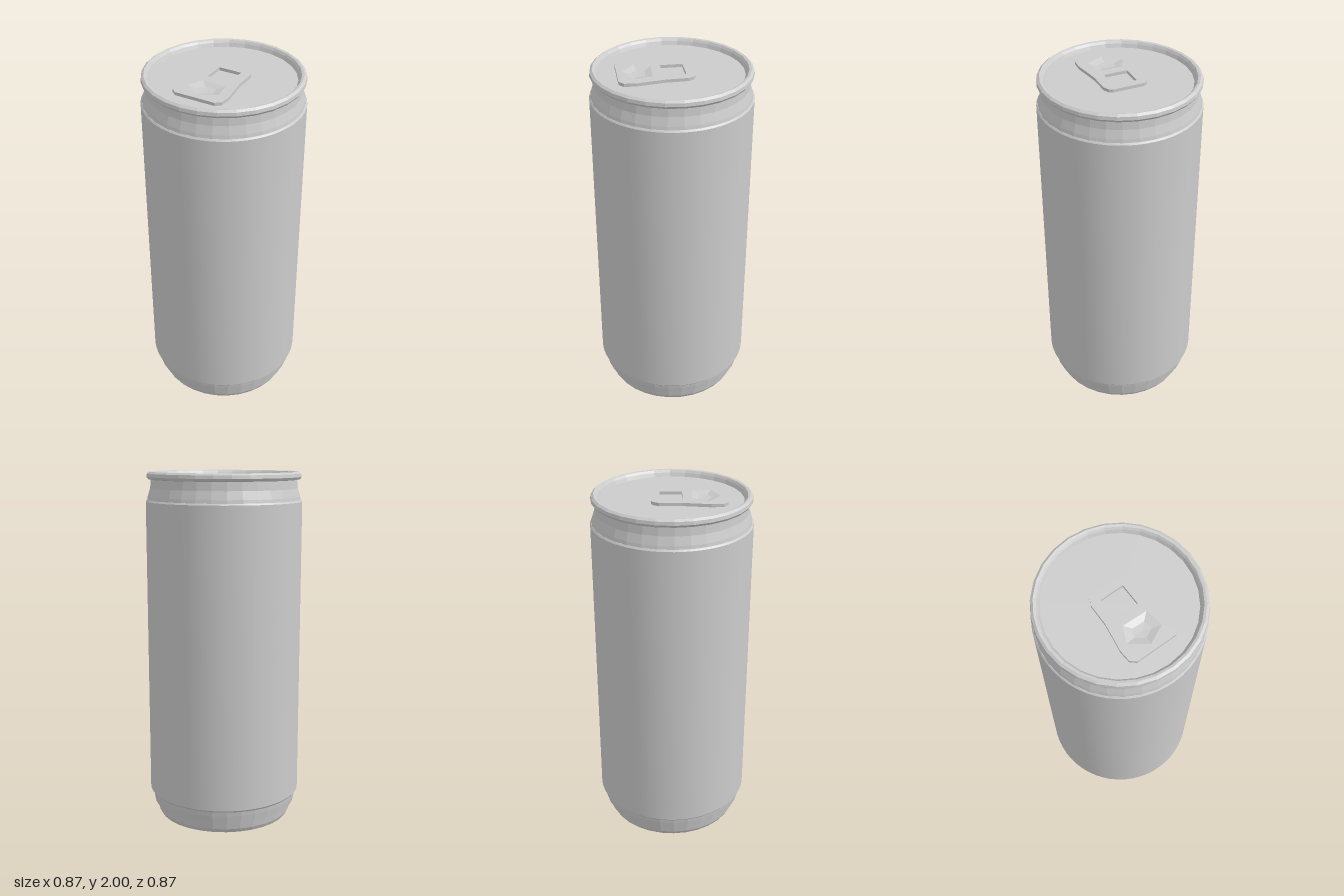
import * as THREE from 'three';
import { toCreasedNormals } from 'three/addons/utils/BufferGeometryUtils.js';

const LID_Y = 1.965, TAB_Y = 1.982;
const vectors = (list) => list.map(([x, y]) => new THREE.Vector2(x, y));
const grey = (options = {}) => new THREE.MeshStandardMaterial({ color: 0xcccccc, ...options });

// Turned part from [radius, height] points, listed from the bottom up
function turned(name, profile, sides, flatShading = false) {
  let geometry = new THREE.LatheGeometry(vectors(profile), sides);
  if (!flatShading) geometry = toCreasedNormals(geometry, 0.6);
  const mesh = new THREE.Mesh(geometry, grey({ flatShading }));
  mesh.name = name;
  return mesh;
}

// Shallow faceted dish hanging from an outline in the x/z plane
function dish(outline, y, depth) {
  const n = outline.length;
  const cx = outline.reduce((s, p) => s + p[0], 0) / n;
  const cz = outline.reduce((s, p) => s + p[1], 0) / n;
  const positions = [], index = [];
  for (const [x, z] of outline) positions.push(x, y, z);
  for (const [x, z] of outline) {
    positions.push(cx + (x - cx) * 0.5, y - depth * 0.85, cz + (z - cz) * 0.5);
  }
  positions.push(cx, y - depth, cz);
  for (let i = 0; i < n; i++) {
    const j = (i + 1) % n;
    index.push(i, n + i, j, j, n + i, n + j, n + i, 2 * n, n + j);
  }
  const geometry = new THREE.BufferGeometry();
  geometry.setAttribute('position', new THREE.Float32BufferAttribute(positions, 3));
  geometry.setIndex(index);
  geometry.computeVertexNormals();
  return geometry;
}

function pullTab() {
  const group = new THREE.Group();
  group.name = 'pullTab';

  // Right half of the outline, mirrored for the left half
  const half = [[0.085, -0.11], [0.105, -0.1], [0.12, -0.07], [0.123, 0.05],
    [0.135, 0.13], [0.147, 0.2], [0.143, 0.265], [0.115, 0.29]];
  const outline = [...half, ...half.map(([x, z]) => [-x, z]).reverse()];
  const window = [[-0.065, -0.065], [-0.065, 0.055], [0.065, 0.055], [0.065, -0.065]];
  const dent = [[-0.06, 0.105], [0.075, 0.11], [0.092, 0.21], [-0.01, 0.258], [-0.102, 0.19]];

  const shape = new THREE.Shape(vectors(outline));
  shape.holes.push(new THREE.Path(vectors(window)), new THREE.Path(vectors(dent)));
  const plate = new THREE.ExtrudeGeometry(shape, { depth: TAB_Y - LID_Y, bevelEnabled: false });
  plate.rotateX(Math.PI / 2).translate(0, TAB_Y, 0);
  const plateMesh = new THREE.Mesh(plate, grey({ flatShading: true }));
  plateMesh.name = 'tabPlate';

  const dentMesh = new THREE.Mesh(dish(dent, TAB_Y, 0.014),
    grey({ flatShading: true, side: THREE.DoubleSide }));
  dentMesh.name = 'fingerDent';
  group.add(plateMesh, dentMesh);
  return group;
}

export function createModel() {
  const can = new THREE.Group();
  can.name = 'drinkCan';

  // Stepped foot with a flat underside
  can.add(turned('base', [[0, 0], [0.345, 0], [0.378, 0.012], [0.39, 0.035],
    [0.398, 0.078], [0.412, 0.083], [0.42, 0.125], [0.424, 0.155]], 32, true));

  // Straight wall, closed by narrow shoulders
  can.add(turned('body', [[0.405, 0.15], [0.428, 0.152], [0.437, 0.163],
    [0.437, 1.838], [0.43, 1.847], [0.41, 1.849]], 56));

  // Tapered neck
  can.add(turned('neck', [[0.43, 1.845], [0.426, 1.865], [0.412, 1.91],
    [0.407, 1.96]], 32, true));

  // Rolled rim running down to the lid
  can.add(turned('rim', [[0.404, 1.956], [0.422, 1.959], [0.431, 1.972],
    [0.428, 1.99], [0.415, 2], [0.402, 1.997], [0.393, 1.985], [0.384, LID_Y]], 28, true));

  // Recessed lid
  can.add(turned('lid', [[0.39, LID_Y], [0, LID_Y]], 28, true));

  can.add(pullTab());
  return can;
}
